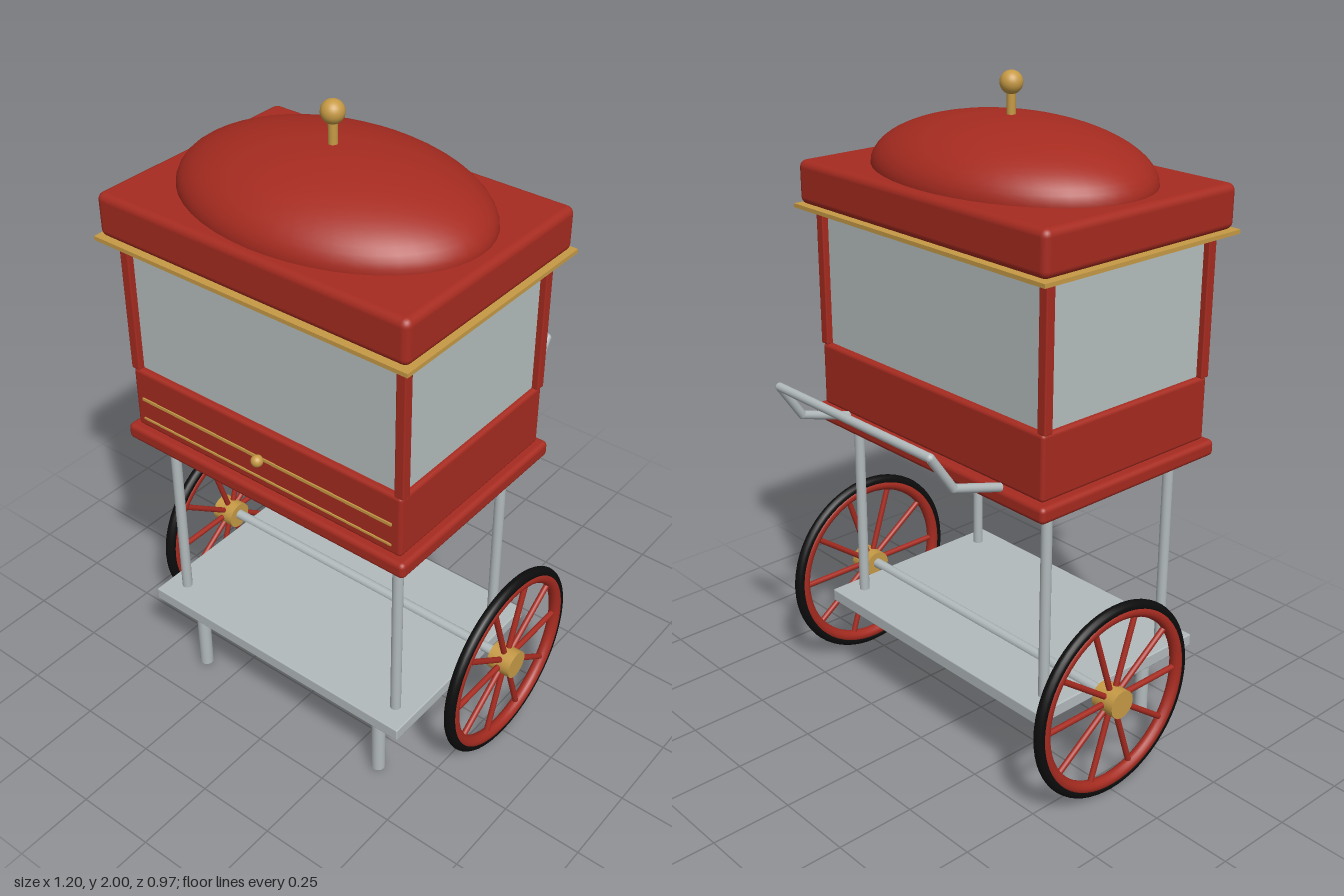
import * as THREE from 'three';
import { RoundedBoxGeometry } from 'three/addons/geometries/RoundedBoxGeometry.js';

const mat = (name, color) => {
  const m = new THREE.MeshStandardMaterial({ color });
  m.name = name;
  return m;
};

export function createModel() {
  const red = mat('red paint', 0xa62b20);
  const gold = mat('brass', 0xc69a45);
  const steel = mat('steel', 0xb2babc);
  const glass = mat('glass', 0xb6bebe);
  const black = mat('black rubber', 0x0c0c0c);
  const cart = new THREE.Group();
  cart.name = 'cart';
  const CZ = 0.11; // centre of the cabinet, forward of the axle

  const add = (name, geo, material, x = 0, y = 0, z = 0, parent = cart) => {
    const m = new THREE.Mesh(geo, material);
    m.name = name;
    m.position.set(x, y, z);
    parent.add(m);
    return m;
  };
  // Box spanning y0..y1, optionally with rounded edges
  const box = (name, material, w, y0, y1, d, r = 0, x = 0, z = CZ) =>
    add(name, r ? new RoundedBoxGeometry(w, y1 - y0, d, 3, r) : new THREE.BoxGeometry(w, y1 - y0, d),
      material, x, (y0 + y1) / 2, z);
  // Round bar between two points
  const bar = (name, material, a, b, r, parent = cart) => {
    const p = new THREE.Vector3(...a), q = new THREE.Vector3(...b);
    const dir = q.clone().sub(p);
    const m = add(name, new THREE.CylinderGeometry(r, r, dir.length(), 16), material, 0, 0, 0, parent);
    m.position.copy(p).add(q).multiplyScalar(0.5);
    m.quaternion.setFromUnitVectors(new THREE.Vector3(0, 1, 0), dir.normalize());
    return m;
  };

  // Cabinet and roof
  box('cabinetLip', red, 1.01, 0.915, 0.965, 0.695, 0.015);
  box('cabinet', red, 0.96, 0.965, 1.162, 0.65, 0.012);
  box('glassCase', glass, 0.93, 1.155, 1.585, 0.61);
  box('brassTrim', gold, 1.05, 1.58, 1.592, 0.746);
  box('roof', red, 1.03, 1.592, 1.722, 0.726, 0.022);
  for (const x of [-0.47, 0.47])
    for (const z of [-0.2, 0.42]) box('cornerPost', red, 0.03, 1.16, 1.585, 0.03, 0.004, x, z);

  // Oval dome with its finial
  const dome = add('dome', new THREE.SphereGeometry(1, 48, 16, 0, Math.PI * 2, 0, Math.PI / 2), red, 0, 1.72, CZ);
  dome.scale.set(0.47, 0.16, 0.335);
  bar('finialStem', gold, [0, 1.86, CZ], [0, 1.96, CZ], 0.013);
  add('finialBall', new THREE.SphereGeometry(0.033, 24, 16), gold, 0, 1.967, CZ);

  // Drawer trim and knob
  box('drawerLine', gold, 0.9, 1.061, 1.07, 0.008, 0, 0, 0.435);
  box('lowerLine', gold, 0.9, 0.995, 1.001, 0.008, 0, 0, 0.435);
  add('drawerKnob', new THREE.SphereGeometry(0.018, 20, 14), gold, 0, 1.065, 0.45);

  // Undercarriage
  box('shelf', steel, 0.96, 0.27, 0.31, 0.65, 0.004);
  for (const x of [-1, 1]) {
    for (const z of [-0.135, 0.36])
      bar('upright', steel, [x * 0.418, 0.3, z], [x * 0.418, 0.93, z], 0.016);
    bar('foot', steel, [x * 0.357, 0.01, 0.36], [x * 0.357, 0.235, 0.36], 0.021);
  }
  bar('axle', steel, [-0.56, 0.312, 0], [0.56, 0.312, 0], 0.016);

  // Push handle at the back
  const bend = [0.337, 1.02, -0.4], grip = [0.333, 1.128, -0.475];
  const side = (p, s) => [p[0] * s, p[1], p[2]];
  for (const s of [-1, 1]) {
    bar('handleArm', steel, side([0.337, 0.972, -0.235], s), side(bend, s), 0.013);
    bar('handleRise', steel, side(bend, s), side(grip, s), 0.013);
    for (const p of [bend, grip])
      add('handleJoint', new THREE.SphereGeometry(0.013, 16, 12), steel, ...side(p, s));
  }
  bar('handleGrip', steel, side(grip, -1), grip, 0.013);

  // Spoked wheels
  for (const s of [-1, 1]) {
    const wheel = new THREE.Group();
    wheel.name = s > 0 ? 'leftWheel' : 'rightWheel';
    wheel.position.set(s * 0.561, 0.306, 0);
    cart.add(wheel);
    add('tyre', new THREE.TorusGeometry(0.289, 0.017, 14, 64), black, 0, 0, 0, wheel).rotation.y = Math.PI / 2;
    add('rim', new THREE.TorusGeometry(0.273, 0.019, 14, 64), red, 0, 0, 0, wheel).rotation.y = Math.PI / 2;
    bar('hub', gold, [-0.039, 0, 0], [0.039, 0, 0], 0.044, wheel);
    for (let i = 0; i < 10; i++) {
      const a = (i * Math.PI) / 5;
      bar('spoke', red, [0, 0, 0], [0, 0.27 * Math.sin(a), 0.27 * Math.cos(a)], 0.009, wheel);
    }
  }
  return cart;
}
